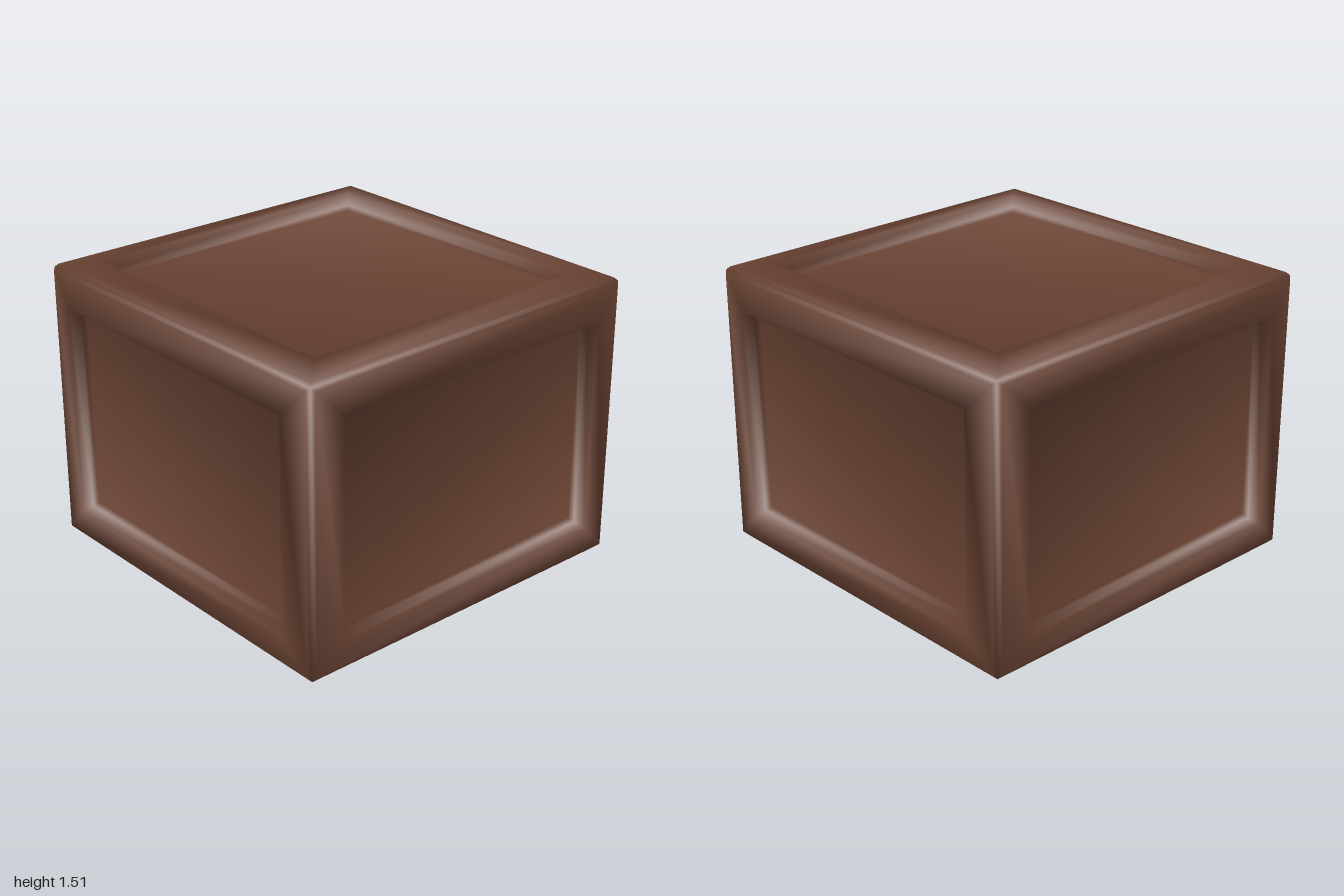
import * as THREE from 'three';

const HALF = [1, 0.755, 1];

// Cross-section of one side, from the box edge inwards: [inset, depth]
const PROFILE = [
  [0.035, 0.035], // middle of the edge chamfer
  [0.05, 0.02],
  [0.2, 0],       // raised inner rim of the frame
  [0.225, 0.05],  // recess wall
  [0.25, 0.07],   // panel border
];
const CORNERS = [[-1, -1], [1, -1], [1, 1], [-1, 1]];

// Tilt of the smooth normal at each profile point
function profileTilts() {
  const slopes = [Math.PI / 4];
  for (let i = 1; i < PROFILE.length; i++) {
    const [a, b] = [PROFILE[i - 1], PROFILE[i]];
    slopes.push(Math.atan2(a[1] - b[1], b[0] - a[0]));
  }
  slopes.push(0);
  return PROFILE.map((_, i) => Math.tan((slopes[i] + slopes[i + 1]) / 2));
}

// Rings firstRing..lastRing of a side, optionally closed by a flat panel
function sideGeometry(axis, sign, firstRing, lastRing, filled) {
  let u = (axis + 1) % 3, v = (axis + 2) % 3;
  if (sign < 0) [u, v] = [v, u];
  const tilts = profileTilts();
  const positions = [], normals = [], index = [];

  for (let r = firstRing; r <= lastRing; r++) {
    const [inset, depth] = PROFILE[r];
    for (const [cu, cv] of CORNERS) {
      const p = [0, 0, 0], n = [0, 0, 0];
      p[axis] = sign * (HALF[axis] - depth);
      p[u] = cu * (HALF[u] - inset);
      p[v] = cv * (HALF[v] - inset);
      n[axis] = sign;
      n[u] = cu * tilts[r];
      n[v] = cv * tilts[r];
      positions.push(...p);
      normals.push(...new THREE.Vector3(...n).normalize().toArray());
    }
  }
  const rings = lastRing - firstRing;
  for (let r = 0; r < rings; r++) {
    for (let i = 0; i < 4; i++) {
      const a = r * 4 + i, b = r * 4 + (i + 1) % 4;
      index.push(a, b, b + 4, a, b + 4, a + 4);
    }
  }
  if (filled) {
    const o = rings * 4;
    index.push(o, o + 1, o + 2, o, o + 2, o + 3);
  }

  const g = new THREE.BufferGeometry();
  g.setAttribute('position', new THREE.Float32BufferAttribute(positions, 3));
  g.setAttribute('normal', new THREE.Float32BufferAttribute(normals, 3));
  g.setIndex(index);
  return g;
}

export function createModel() {
  const crate = new THREE.Group();
  crate.name = 'crate';
  const wood = new THREE.MeshStandardMaterial({ color: 0x6a4333 });
  wood.name = 'brown wood';

  const sides = [
    ['right', 0, -1], ['left', 0, 1], ['bottom', 1, -1],
    ['top', 1, 1], ['back', 2, -1], ['front', 2, 1],
  ];
  for (const [name, axis, sign] of sides) {
    // Rounded frame and the recessed panel inside it
    const frame = new THREE.Mesh(sideGeometry(axis, sign, 0, 3, false), wood);
    frame.name = name + 'Frame';
    const panel = new THREE.Mesh(sideGeometry(axis, sign, 3, 4, true), wood);
    panel.name = name + 'Panel';
    crate.add(frame, panel);
  }
  crate.position.y = HALF[1];

  const model = new THREE.Group();
  model.name = 'panelledCrate';
  model.add(crate);
  return model;
}
